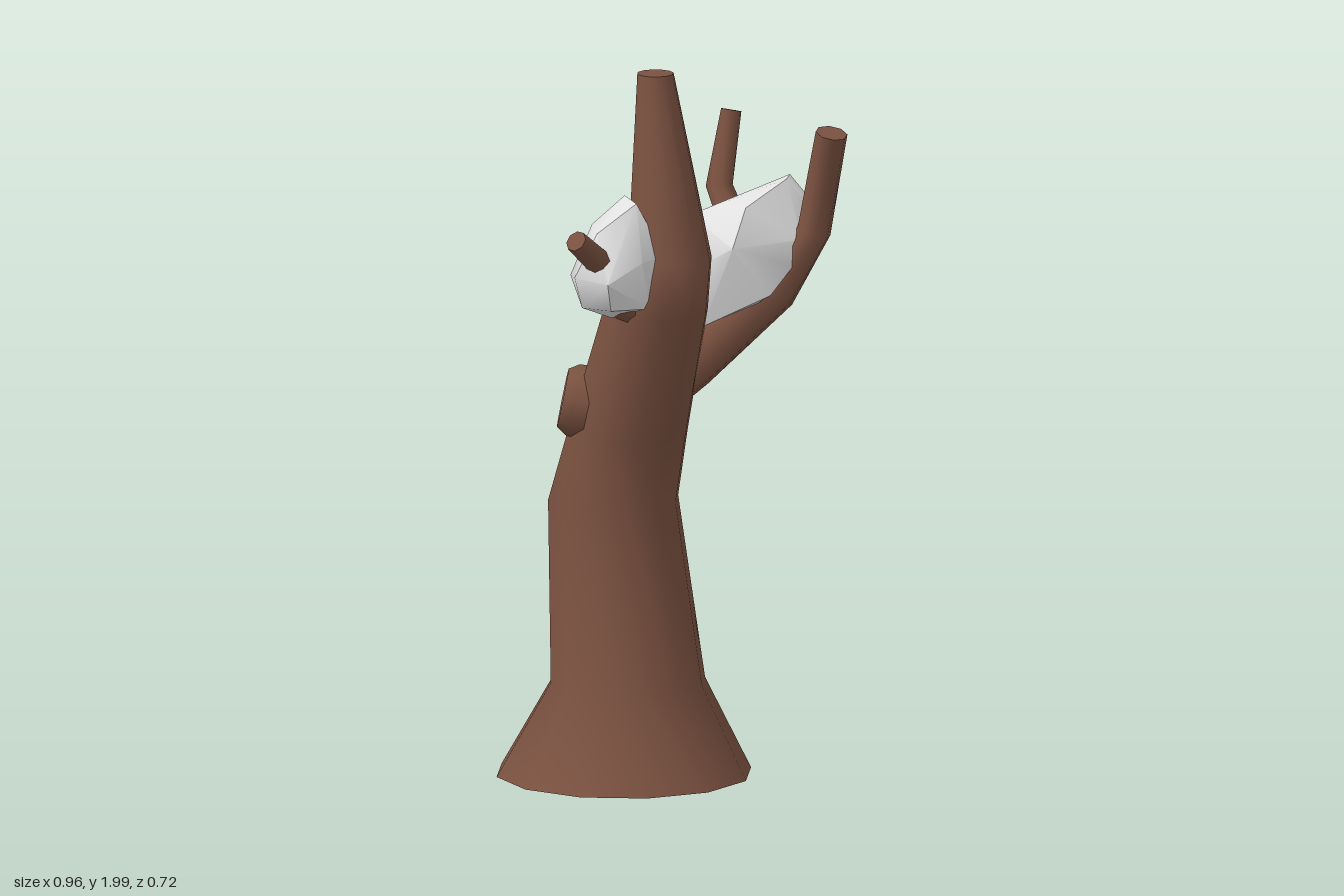
import * as THREE from 'three';
import { ConvexGeometry } from 'three/addons/geometries/ConvexGeometry.js';
import { mergeVertices, toCreasedNormals } from 'three/addons/utils/BufferGeometryUtils.js';

const V = (x, y, z) => new THREE.Vector3(x, y, z);

function material(name, color, side = THREE.FrontSide) {
  const m = new THREE.MeshStandardMaterial({ color, side });
  m.name = name;
  return m;
}

// Smooth tapering limb through [x, y, z, radius] stations, open below and capped on top.
function limb(stations, sides, level = false) {
  const centres = stations.map(([x, y, z]) => V(x, y, z));
  const last = centres.length - 1;
  const pos = [], idx = [];
  const addRing = (i) => {
    const t = level
      ? V(0, 1, 0)
      : centres[Math.min(i + 1, last)].clone().sub(centres[Math.max(i - 1, 0)]).normalize();
    const v = t.clone().cross(V(0, 0, 1)).normalize();
    const u = v.clone().cross(t);
    for (let j = 0; j < sides; j++) {
      const a = (j / sides) * Math.PI * 2, r = stations[i][3];
      const p = centres[i].clone().addScaledVector(u, r * Math.cos(a)).addScaledVector(v, r * Math.sin(a));
      pos.push(p.x, p.y, p.z);
    }
  };
  for (let i = 0; i <= last; i++) addRing(i);
  for (let i = 0; i < last; i++) {
    for (let j = 0; j < sides; j++) {
      const a = i * sides + j, b = i * sides + ((j + 1) % sides);
      idx.push(a, b, a + sides, b, b + sides, a + sides);
    }
  }
  // separate ring for a crisp end cap
  const start = pos.length / 3;
  addRing(last);
  for (let j = 1; j < sides - 1; j++) idx.push(start, start + j, start + j + 1);
  const g = new THREE.BufferGeometry();
  g.setAttribute('position', new THREE.Float32BufferAttribute(pos, 3));
  g.setIndex(idx);
  g.computeVertexNormals();
  return g;
}

// Faceted clump with softened shading, wrapped around a few points.
function clump(points) {
  const g = new ConvexGeometry(points.map((p) => V(...p)));
  g.deleteAttribute('normal');
  return toCreasedNormals(mergeVertices(g), 0.85);
}

export function createModel() {
  const group = new THREE.Group();
  const bark = material('bark', 0x7a5140, THREE.DoubleSide);
  const lipWood = material('knot lip', 0x8c5f50, THREE.DoubleSide);
  const heartwood = material('heartwood', 0xe6a58c, THREE.DoubleSide);
  const white = material('white clump', 0xe0e0e0);
  const add = (name, geometry, mat, parent = group) => {
    const mesh = new THREE.Mesh(geometry, mat);
    mesh.name = name;
    parent.add(mesh);
    return mesh;
  };

  // Trunk, flared at the foot and bending forward
  add('trunk', limb([
    [-0.127, 0, -0.005, 0.358],
    [-0.115, 0.26, -0.008, 0.217],
    [-0.15, 0.77, -0.043, 0.183],
    [-0.115, 0.96, -0.018, 0.17],
    [-0.062, 1.33, 0.12, 0.148],
    [-0.025, 1.48, 0.14, 0.118],
    [-0.053, 1.99, 0.075, 0.051],
  ], 12, true), bark);

  // Branches
  add('leftBranch', limb([
    [-0.02, 1.11, 0.035, 0.085],
    [0.05, 1.165, 0.035, 0.085],
    [0.29, 1.36, 0.03, 0.07],
    [0.4, 1.52, 0.04, 0.048],
    [0.435, 1.81, 0.115, 0.045],
  ], 8), bark);
  add('backBranch', limb([
    [0.26, 1.33, 0.02, 0.05],
    [0.225, 1.45, -0.08, 0.045],
    [0.175, 1.61, -0.185, 0.038],
    [0.215, 1.815, -0.218, 0.029],
  ], 8), bark);
  add('rightBranch', limb([
    [-0.06, 1.28, 0.15, 0.045],
    [-0.17, 1.37, 0.21, 0.042],
    [-0.245, 1.5, 0.265, 0.037],
    [-0.325, 1.58, 0.335, 0.031],
  ], 8), bark);

  // Clumps resting in the forks
  add('leftClump', clump([
    [0.34, 1.65, -0.05], [0.36, 1.65, -0.11], [0.415, 1.58, -0.1], [0.42, 1.55, -0.03],
    [0.36, 1.5, 0.06], [0.33, 1.43, 0.09], [0.26, 1.36, 0.13], [0.15, 1.5, 0.15],
    [0.2, 1.6, 0.08], [0.07, 1.45, 0.11], [0.06, 1.57, 0], [0.03, 1.5, -0.06],
    [0.05, 1.28, 0], [0.08, 1.27, 0.08], [0.08, 1.2, -0.06], [0.25, 1.36, -0.08],
    [0.27, 1.34, 0.04], [0.22, 1.59, -0.07],
  ]), white);
  add('rightClump', clump([
    [-0.15, 1.66, 0.13], [-0.13, 1.65, 0.2], [-0.24, 1.58, 0.12], [-0.25, 1.58, 0.25],
    [-0.31, 1.45, 0.17], [-0.315, 1.46, 0.26], [-0.28, 1.38, 0.15], [-0.29, 1.37, 0.24],
    [-0.235, 1.45, 0.33], [-0.22, 1.37, 0.3], [-0.2, 1.33, 0.2], [-0.1, 1.36, 0.24],
    [-0.13, 1.5, 0.29], [-0.16, 1.45, 0.06], [-0.1, 1.5, 0.14], [-0.05, 1.5, 0.2],
  ]), white);

  // Knot hole on the side of the trunk
  const knot = new THREE.Group();
  knot.name = 'knotHole';
  const lathe = (pts) => new THREE.LatheGeometry(pts.map(([r, h]) => new THREE.Vector2(r, h)), 8);
  add('knotRim', lathe([[0.105, -0.06], [0.1, 0.01], [0.082, 0.038]]), bark, knot);
  add('knotLip', lathe([[0.082, 0.038], [0.056, 0.034]]), lipWood, knot);
  add('knotHollow', lathe([[0.056, 0.034], [0.045, 0.012], [0, 0.008]]), heartwood, knot);
  knot.quaternion.setFromUnitVectors(V(0, 1, 0), V(-0.96, 0.2, -0.2).normalize());
  knot.position.set(-0.26, 1.055, -0.01);
  group.add(knot);

  return group;
}
